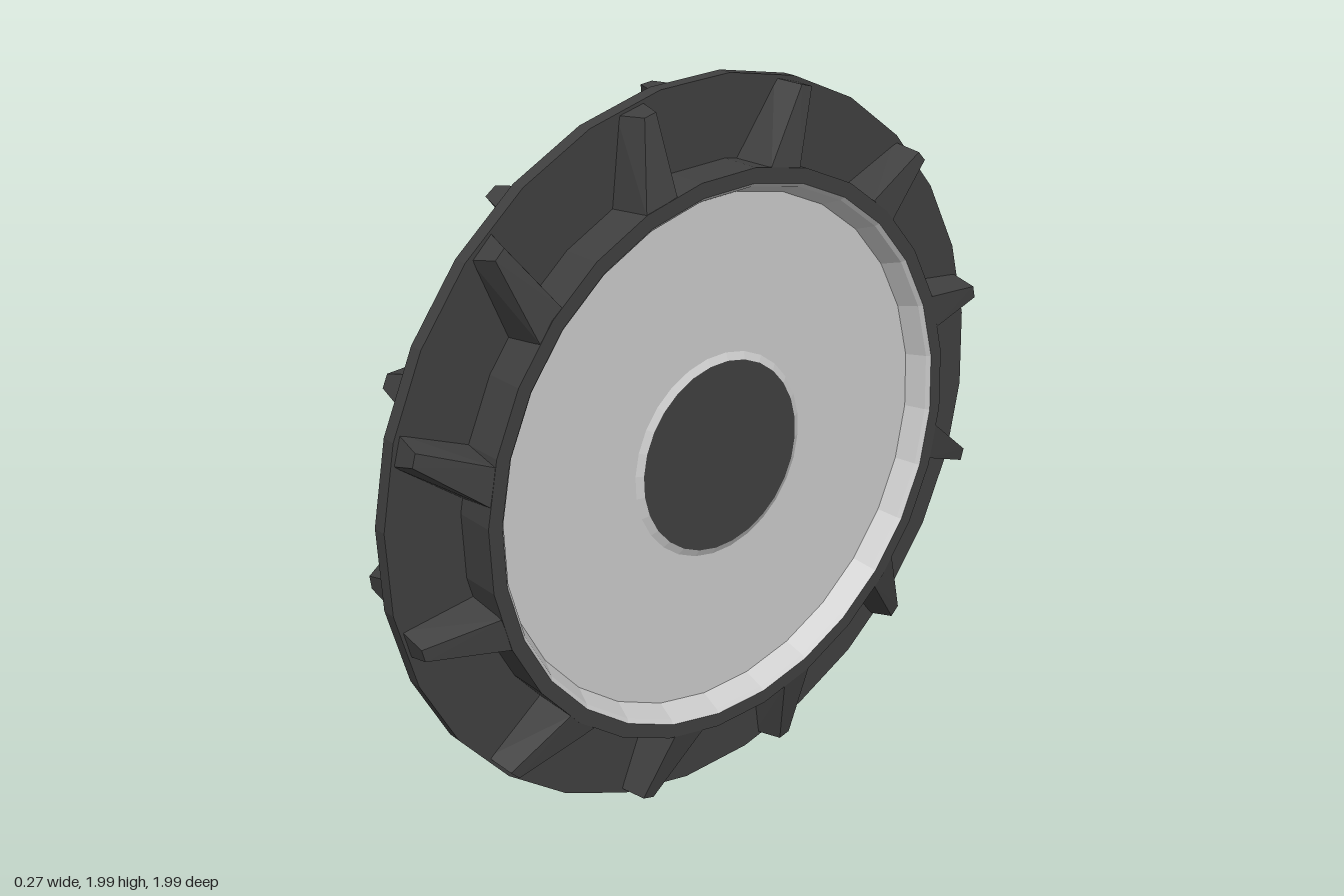
import * as THREE from 'three';
import { ConvexGeometry } from 'three/addons/geometries/ConvexGeometry.js';

const SIDES = 28;
const rad = THREE.MathUtils.degToRad;
const rubber = new THREE.MeshStandardMaterial({ color: 0x404040, flatShading: true });
const metal = new THREE.MeshStandardMaterial({ color: 0xcccccc, flatShading: true });

// Lathe around the x axis; profile points are [radius, x]
function turned(name, profile, material) {
  const points = profile.map(([r, x]) => new THREE.Vector2(r, x));
  const geometry = new THREE.LatheGeometry(points, SIDES, rad(-94.3));
  geometry.rotateZ(-Math.PI / 2);
  const mesh = new THREE.Mesh(geometry, material);
  mesh.name = name;
  return mesh;
}

// Point on the wheel: angle from the top towards -z, w is a sideways offset
function wheelPoint(x, r, degrees, w = 0) {
  const a = rad(degrees);
  return new THREE.Vector3(x, r * Math.cos(a) - w * Math.sin(a), -r * Math.sin(a) - w * Math.cos(a));
}

// Tapered, slightly skewed tread lug standing on the flange
function makeLug(side, outerAngle, innerAngle) {
  const points = [];
  for (const s of [-1, 1]) {
    points.push(
      wheelPoint(side * 0.01, 0.985, outerAngle, s * 0.04),
      wheelPoint(side * 0.09, 0.985, outerAngle, s * 0.018),
      wheelPoint(side * 0.01, 0.77, innerAngle, s * 0.07),
      wheelPoint(side * 0.134, 0.78, innerAngle, s * 0.05)
    );
  }
  const lug = new THREE.Mesh(new ConvexGeometry(points), rubber);
  lug.name = side > 0 ? 'leftLug' : 'rightLug';
  return lug;
}

export function createModel() {
  const wheel = new THREE.Group();
  wheel.name = 'wheel';
  wheel.position.y = 1;

  // Tyre drum with its thin central flange
  wheel.add(turned('tyre', [
    [0.745, -0.135], [0.785, -0.135], [0.785, -0.02], [1, -0.02],
    [1, 0.02], [0.785, 0.02], [0.785, 0.135], [0.745, 0.135]
  ], rubber));

  // Dished rim plates on both sides, with a raised ring round the hub
  wheel.add(turned('rightRim', [
    [0.265, -0.01], [0.265, -0.08], [0.285, -0.07], [0.71, -0.07], [0.735, -0.125], [0.745, -0.135]
  ], metal));
  wheel.add(turned('leftRim', [
    [0.745, 0.135], [0.735, 0.125], [0.71, 0.07], [0.285, 0.07], [0.265, 0.08]
  ], metal));

  // Hub: capped on one side, recessed on the other
  wheel.add(turned('hub', [[0, -0.01], [0.265, -0.01], [0.265, 0.08], [0, 0.08]], rubber));

  // Hub bolts in the recess
  for (let i = 0; i < 4; i++) {
    const geometry = new THREE.CylinderGeometry(0.027, 0.027, 0.035, 6);
    const bolt = new THREE.Mesh(geometry.rotateZ(Math.PI / 2), metal);
    bolt.position.copy(wheelPoint(-0.025, 0.19, -35 + 90 * i));
    bolt.name = 'hubBolt';
    wheel.add(bolt);
  }

  // Twelve lugs per side, staggered and skewed opposite ways
  for (let i = 0; i < 12; i++) {
    wheel.add(makeLug(1, 16 + 30 * i, 12 + 30 * i));
    wheel.add(makeLug(-1, -6 + 30 * i, -2 + 30 * i));
  }

  const model = new THREE.Group();
  model.add(wheel);
  return model;
}
